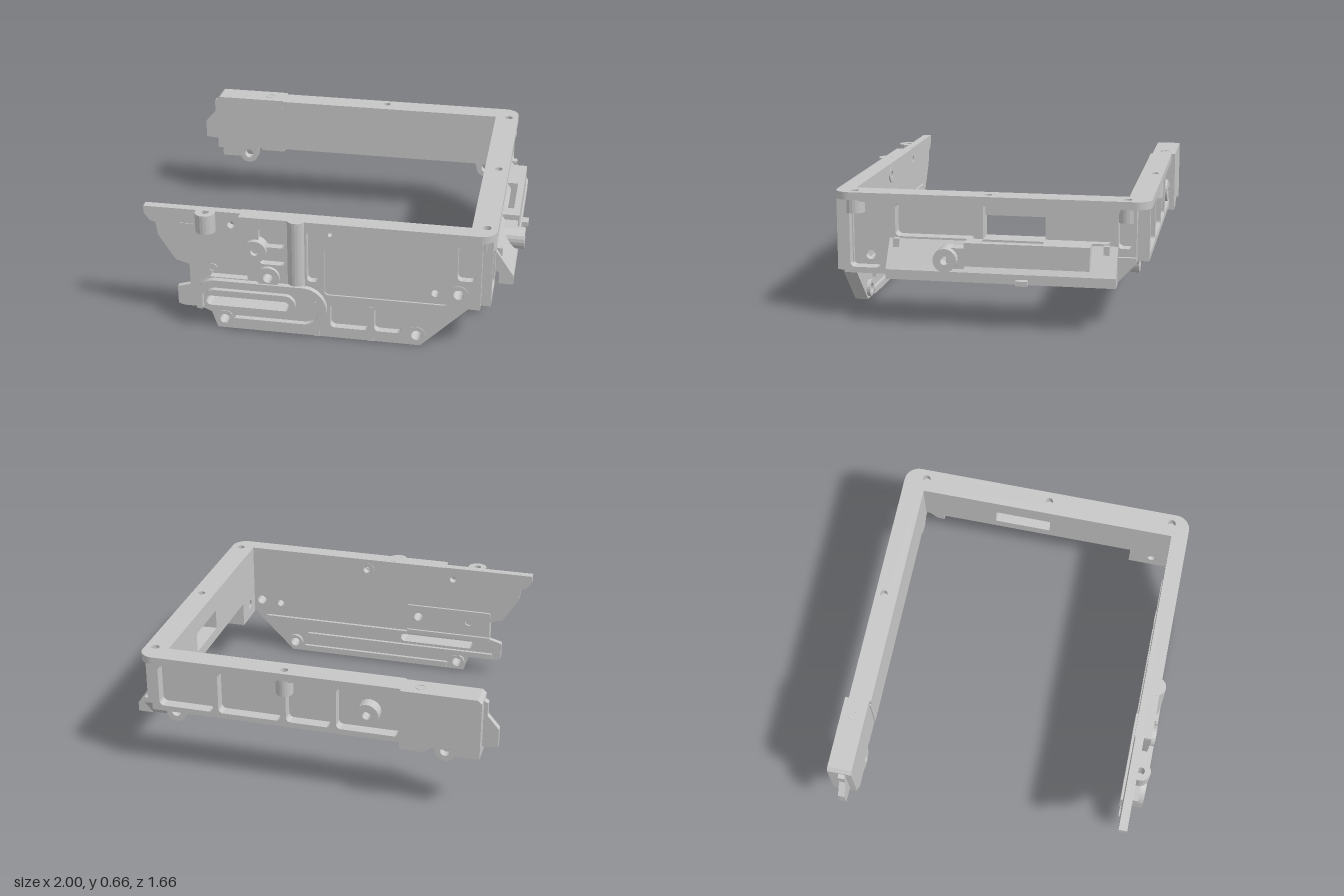
import * as THREE from 'three';

const metal = new THREE.MeshStandardMaterial({ color: 0xc6c6c6 });
metal.name = 'grey metal';

// --- hole and outline helpers ---
const poly = (pts) => new THREE.Shape(pts.map(([x, y]) => new THREE.Vector2(x, y)));
const circle = (x, y, r) => {
  const s = new THREE.Shape();
  s.absarc(x, y, r, 0, Math.PI * 2);
  return s;
};
const round = (x0, y0, x1, y1, r = 0.025) => {
  const s = new THREE.Shape();
  s.absarc(x1 - r, y0 + r, r, -Math.PI / 2, 0);
  s.absarc(x1 - r, y1 - r, r, 0, Math.PI / 2);
  s.absarc(x0 + r, y1 - r, r, Math.PI / 2, Math.PI);
  s.absarc(x0 + r, y0 + r, r, Math.PI, Math.PI * 1.5);
  s.closePath();
  return s;
};

export function createModel() {
  const group = new THREE.Group();
  const add = (name, geo) => {
    const m = new THREE.Mesh(geo, metal);
    m.name = name;
    group.add(m);
  };
  const extrude = (shape, holes, a, b) => {
    shape.holes = holes;
    return new THREE.ExtrudeGeometry(shape, { depth: b - a, bevelEnabled: false, curveSegments: 10 }).translate(0, 0, a);
  };
  // plates facing z, x (shape uses -z, y) and y (shape uses x, -z)
  const plateZ = (name, s, holes, a, b) => add(name, extrude(s, holes, a, b));
  const plateX = (name, s, holes, a, b) => add(name, extrude(s, holes, a, b).rotateY(Math.PI / 2));
  const plateY = (name, s, holes, a, b) => add(name, extrude(s, holes, a, b).rotateX(-Math.PI / 2));
  const box = (name, x0, x1, y0, y1, z0, z1) =>
    add(name, new THREE.BoxGeometry(x1 - x0, y1 - y0, z1 - z0).translate((x0 + x1) / 2, (y0 + y1) / 2, (z0 + z1) / 2));
  const ringZ = (name, x, y, r, hole, a, b) => plateZ(name, circle(x, y, r), [circle(x, y, hole)], a, b);
  const post = (name, x, z, r, y0, y1) => plateY(name, circle(x, -z, r), [circle(x, -z, 0.02)], y0, y1);

  // --- top rim: U shape open to the left ---
  const rim = new THREE.Shape();
  rim.moveTo(-0.93, -0.76);
  [[-0.42, -0.76], [-0.42, -0.8]].forEach((p) => rim.lineTo(...p));
  rim.absarc(0.805, -0.72, 0.08, -Math.PI / 2, 0);
  rim.absarc(0.805, 0.73, 0.08, 0, Math.PI / 2);
  [[-0.51, 0.81], [-0.51, 0.69], [0.755, 0.69], [0.755, -0.71], [-0.42, -0.71], [-0.42, -0.715], [-0.93, -0.715]]
    .forEach((p) => rim.lineTo(...p));
  plateY('topRim', rim, [circle(0.83, -0.7, 0.022), circle(0.83, -0.01, 0.02), circle(0.83, 0.69, 0.022),
    circle(0.105, 0.765, 0.02)], 0.62, 0.66);

  // --- front wall: base plate, thinner in the lower part ---
  const slot = () => round(-0.6, 0.145, -0.16, 0.2, 0.026);
  const lowBolts = () => [circle(-0.51, 0.055, 0.026), circle(0.5, 0.06, 0.027)];
  const highBolts = () => [circle(-0.27, 0.33, 0.026), circle(0.71, 0.32, 0.027)];
  plateZ('frontUpperPlate', poly([[-0.93, 0.62], [-0.9, 0.58], [-0.87, 0.57], [-0.86, 0.5], [-0.81, 0.42], [-0.77, 0.36],
    [-0.7, 0.34], [-0.7, 0.24], [0.82, 0.24], [0.82, 0.62]]),
  [...highBolts(), circle(0.59, 0.31, 0.02), circle(-0.47, 0.59, 0.02), circle(0.05, 0.595, 0.02)], 0.715, 0.76);
  plateZ('frontLowerPlate', poly([[-0.7, 0.24], [-0.7, 0.22], [-0.77, 0.2], [-0.77, 0.1], [-0.74, 0.09], [-0.58, 0.09],
    [-0.55, 0], [0.52, 0], [0.76, 0.24]]), [slot(), ...lowBolts()], 0.73, 0.76);

  // raised outer layer with recessed pockets
  plateZ('frontRibs', poly([[-0.42, 0.62], [-0.38, 0.3], [-0.58, 0.3], [-0.65, 0.24], [-0.65, 0.12], [-0.58, 0.09],
    [-0.55, 0], [0.52, 0], [0.76, 0.24], [0.82, 0.24], [0.82, 0.62]]),
  [slot(), ...lowBolts(), ...highBolts(), round(-0.32, 0.5, -0.18, 0.61), round(-0.32, 0.4, -0.18, 0.47),
    round(-0.07, 0.32, -0.01, 0.61), round(0.05, 0.06, 0.25, 0.2), round(0.28, 0.06, 0.42, 0.2),
    round(0.02, 0.25, 0.66, 0.61), round(0.7, 0.4, 0.79, 0.61)], 0.76, 0.8);
  plateZ('frontPanel', round(0.02, 0.25, 0.66, 0.61), [circle(0.59, 0.31, 0.02), circle(0.05, 0.595, 0.012)], 0.755, 0.79);

  // slot surround: outer loop open at the lower left, closed inner loop
  const hook = new THREE.Shape();
  hook.moveTo(-0.45, 0.045);
  hook.lineTo(-0.09, 0.045);
  hook.absarc(-0.09, 0.17, 0.125, -Math.PI / 2, Math.PI / 2);
  hook.absarc(-0.55, 0.195, 0.1, Math.PI / 2, Math.PI);
  hook.lineTo(-0.65, 0.12);
  hook.lineTo(-0.62, 0.12);
  hook.absarc(-0.55, 0.195, 0.07, Math.PI, Math.PI / 2, true);
  hook.absarc(-0.09, 0.17, 0.09, Math.PI / 2, -Math.PI / 2, true);
  hook.lineTo(-0.45, 0.08);
  plateZ('slotOuterLoop', hook, [], 0.795, 0.83);
  plateZ('slotInnerLoop', round(-0.61, 0.12, -0.13, 0.235, 0.055), [slot()], 0.795, 0.825);

  // bosses, posts and small details on the front
  ringZ('frontBoss', -0.335, 0.48, 0.06, 0.022, 0.76, 0.825);
  ringZ('frontBoss', -0.27, 0.33, 0.06, 0.026, 0.8, 0.82);
  for (const [x, y] of [[-0.51, 0.055], [0.5, 0.06], [0.71, 0.32]]) ringZ('boltBoss', x, y, 0.05, 0.027, 0.79, 0.804);
  post('frontLongPost', -0.125, 0.778, 0.05, 0.3, 0.661);
  post('frontShortPost', -0.6, 0.775, 0.052, 0.555, 0.66);
  ringZ('stud', -0.575, 0.33, 0.026, 0.016, 0.755, 0.766);
  box('smallKey', -0.74, -0.67, 0.555, 0.58, 0.755, 0.764);
  for (const x of [-0.02, 0.265]) box('bottomRib', x - 0.012, x + 0.012, 0, 0.2, 0.795, 0.804);

  // inner face of the front wall: thin panel, boss and rails
  plateZ('innerPanel', round(-0.7, 0.25, -0.2, 0.4, 0.01), [circle(-0.27, 0.33, 0.026), circle(-0.575, 0.33, 0.022)], 0.702, 0.716);
  ringZ('innerBoss', 0.05, 0.595, 0.045, 0.02, 0.708, 0.716);
  for (const [x0, x1, y0, y1] of [[-0.7, -0.2, 0.21, 0.235], [-0.2, 0.68, 0.2, 0.22], [-0.72, 0.42, 0.1, 0.13], [-0.45, 0.44, 0.01, 0.045]])
    box('innerRail', x0, x1, y0, y1, 0.712, 0.732);
  for (const [x, y] of [[-0.51, 0.055], [0.5, 0.06]]) ringZ('innerRing', x, y, 0.045, 0.027, 0.712, 0.732);

  // --- right wall: u = -z, low only at the front corner ---
  const sideOutline = () => poly([[-0.75, 0.24], [-0.5, 0.24], [-0.5, 0.38], [0.74, 0.38], [0.74, 0.62], [-0.75, 0.62]]);
  plateX('sidePlate', sideOutline(), [round(-0.03, 0.44, 0.28, 0.55, 0.003), circle(-0.63, 0.32, 0.025)], 0.757, 0.8);
  plateX('sideRibs', sideOutline(),
    [round(-0.72, 0.27, -0.56, 0.61), round(-0.48, 0.44, 0.62, 0.61), round(0.65, 0.42, 0.72, 0.61, 0.02)], 0.8, 0.87);
  box('windowRib', 0.795, 0.86, 0.43, 0.62, 0.03, 0.08);
  box('windowStep', 0.795, 0.82, 0.43, 0.62, -0.63, -0.28);
  plateX('shelfEndWeb', poly([[0.6, 0.24], [0.64, 0.24], [0.74, 0.35], [0.74, 0.38], [0.6, 0.38]]), [], 0.8, 0.89);

  // sloped shelf, hollow underneath, with a stepped block on it
  plateZ('sideShelf', poly([[0.8, 0.38], [0.89, 0.3], [0.89, 0.24], [0.965, 0.24], [0.965, 0.29], [0.87, 0.43], [0.8, 0.43]]),
    [], -0.65, 0.51);
  for (const [z0, z1] of [[-0.52, -0.28], [0.03, 0.11]]) box('shelfBlock', 0.86, 0.96, 0.32, 0.44, z0, z1);
  plateZ('shelfNotch', poly([[0.87, 0.32], [0.96, 0.32], [0.96, 0.44], [0.925, 0.44], [0.885, 0.4], [0.87, 0.4]]), [], -0.28, 0.03);
  plateX('shelfBoss', circle(-0.2, 0.355, 0.06), [circle(-0.2, 0.355, 0.022)], 0.88, 1);
  box('shelfBossWeb', 0.87, 0.955, 0.3, 0.41, 0.11, 0.2);
  box('shelfTab', 0.95, 1, 0.24, 0.265, -0.215, -0.155);
  for (const [z0, z1] of [[0.455, 0.485], [-0.61, -0.58]]) box('shelfPeg', 0.86, 0.9, 0.39, 0.435, z0, z1);
  for (const z of [0.7, -0.69]) post('cornerPost', 0.83, z, 0.052, 0.55, 0.62);

  // --- back wall ---
  plateZ('backPlate', poly([[-0.52, 0.35], [0.8, 0.35], [0.8, 0.62], [-0.52, 0.62]]), [], -0.74, -0.692);
  plateZ('backRibs', poly([[-0.52, 0.35], [0.82, 0.35], [0.82, 0.62], [-0.52, 0.62]]),
    [[-0.5, -0.175], [-0.145, 0.09], [0.12, 0.455], [0.485, 0.78]].map(([a, b]) => round(a, 0.38, b, 0.61)), -0.8, -0.74);
  ringZ('backBoss', -0.335, 0.48, 0.062, 0.022, -0.805, -0.74);
  post('backPost', 0.105, -0.765, 0.045, 0.53, 0.62);

  // hanging ears
  for (const [x, y] of [[0.71, 0.32], [-0.73, 0.3]]) {
    const ear = new THREE.Shape();
    ear.absarc(x, y, 0.055, Math.PI, Math.PI * 2);
    ear.lineTo(x + 0.07, 0.38);
    ear.lineTo(x - 0.07, 0.38);
    plateZ('backEar', ear, [circle(x, y, 0.026)], -0.745, -0.7);
  }

  // end block with tab and step
  plateZ('endBlock', poly([[-0.9, 0.66], [-0.51, 0.66], [-0.51, 0.33], [-0.64, 0.33], [-0.67, 0.36], [-0.79, 0.36],
    [-0.82, 0.33], [-0.92, 0.33], [-0.92, 0.64]]), [], -0.83, -0.7);
  post('endBlockHole', -0.6, -0.765, 0.026, 0.62, 0.662);
  plateZ('endTab', poly([[-0.9, 0.64], [-0.94, 0.62], [-0.94, 0.55], [-1, 0.48], [-1, 0.38], [-0.9, 0.37]]), [], -0.77, -0.735);
  box('endStep', -0.89, -0.76, 0.28, 0.36, -0.745, -0.7);
  return group;
}
